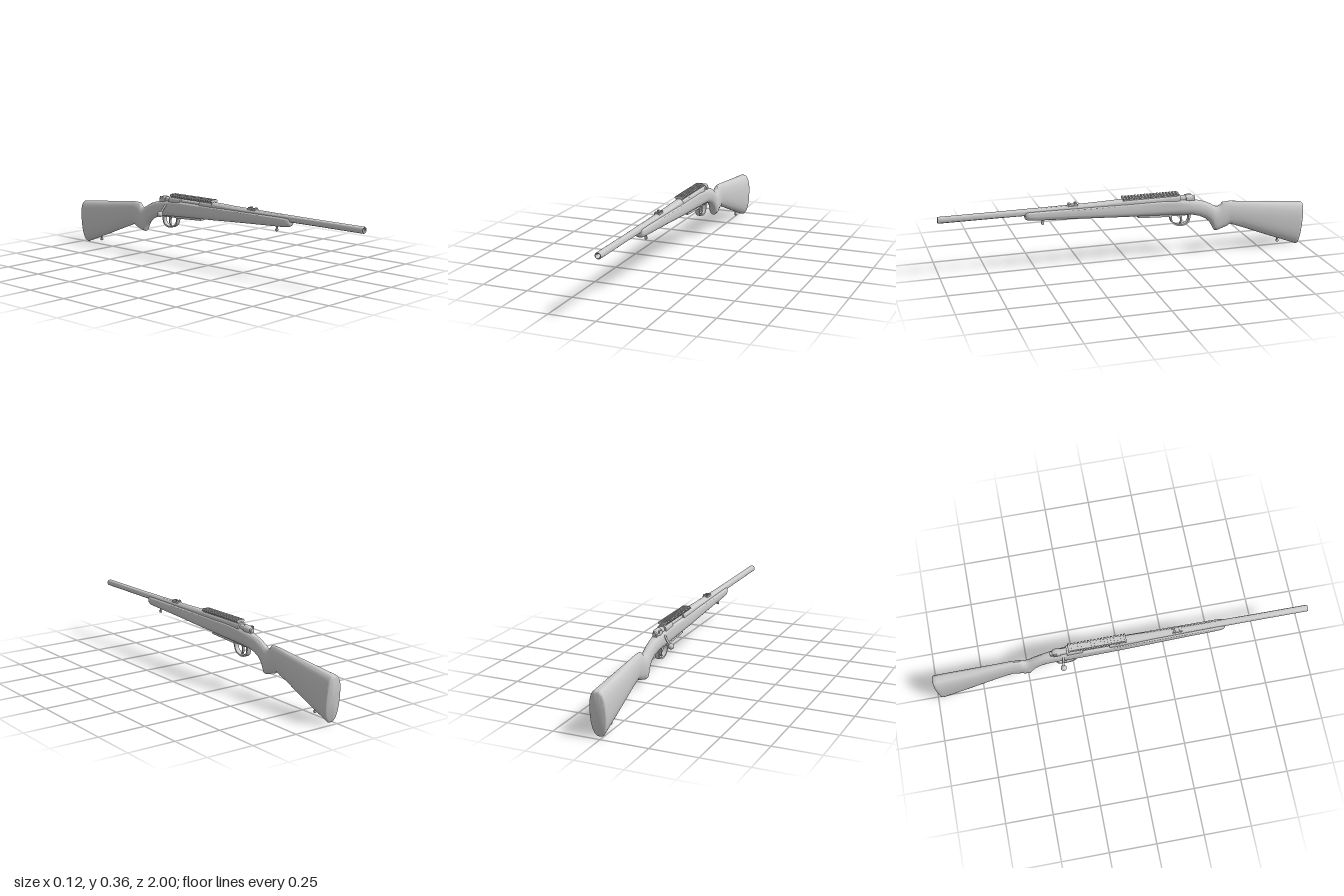
import * as THREE from 'three';
import { toCreasedNormals } from 'three/addons/utils/BufferGeometryUtils.js';

const material = new THREE.MeshStandardMaterial({ color: 0xcccccc });
const doubleSided = new THREE.MeshStandardMaterial({ color: 0xcccccc, side: THREE.DoubleSide });
const AXIS_Y = 0.325; // height of the bore line

export function createModel() {
  const model = new THREE.Group();
  const rifle = new THREE.Group();
  rifle.name = 'rifle';
  rifle.position.x = 0.016;
  model.add(rifle);

  const add = (name, geometry, x = 0, y = 0, z = 0, mat = material) => {
    const mesh = new THREE.Mesh(geometry, mat);
    mesh.name = name;
    mesh.position.set(x, y, z);
    rifle.add(mesh);
    return mesh;
  };
  const box = (name, w, h, d, x, y, z) => add(name, new THREE.BoxGeometry(w, h, d), x, y, z);

  // Turned part lying along z, from [radius, z] points listed back to front
  const turned = (name, points, y = AXIS_Y) => {
    const g = new THREE.LatheGeometry(points.map(([r, z]) => new THREE.Vector2(r, z)), 32);
    g.rotateX(Math.PI / 2);
    return add(name, toCreasedNormals(g, 0.6), 0, y, 0);
  };

  // Side profile of [z, y] points, extruded across x
  const sidePlate = (name, points, width) => {
    const shape = new THREE.Shape(points.map(([z, y]) => new THREE.Vector2(-z, y)));
    const g = new THREE.ExtrudeGeometry(shape, { depth: width, bevelEnabled: false });
    g.translate(0, 0, -width / 2).rotateY(Math.PI / 2);
    return add(name, g);
  };

  // Skin over oval sections: [z, top, bottom, half width, top squareness, bottom squareness, z lean]
  const loft = (name, sections, crease = 0.7) => {
    const N = 40, pos = [], index = [];
    for (const [z, top, bottom, w, nTop, nBottom, lean = 0] of sections) {
      const mid = (top + bottom) / 2, h = (top - bottom) / 2;
      for (let j = 0; j < N; j++) {
        const a = (j / N) * Math.PI * 2, c = Math.cos(a), s = Math.sin(a);
        const p = 2 / (s > 0 ? nTop : nBottom);
        const v = Math.sign(s) * Math.abs(s) ** p;
        pos.push(Math.sign(c) * Math.abs(c) ** p * w, mid + v * h, z - v * lean);
      }
    }
    for (let i = 0; i < sections.length - 1; i++) {
      for (let j = 0; j < N; j++) {
        const a = i * N + j, b = i * N + (j + 1) % N;
        index.push(a, a + N, b, b, a + N, b + N);
      }
    }
    const last = (sections.length - 1) * N, f = sections[0], e = sections[sections.length - 1];
    pos.push(0, (f[1] + f[2]) / 2, f[0], 0, (e[1] + e[2]) / 2, e[0]);
    for (let j = 0; j < N; j++) {
      const k = (j + 1) % N;
      index.push(last + N, j, k, last + N + 1, last + k, last + j);
    }
    const g = new THREE.BufferGeometry();
    g.setAttribute('position', new THREE.Float32BufferAttribute(pos, 3));
    g.setIndex(index);
    return add(name, toCreasedNormals(g, crease));
  };

  // Stock: fore-end, receiver bed, wrist, pistol grip and butt
  loft('stock', [
    [0.554, 0.322, 0.296, 0.017, 4, 2],
    [0.549, 0.326, 0.287, 0.023, 5, 2.2],
    [0.535, 0.328, 0.281, 0.027, 5, 2.3],
    [0.50, 0.328, 0.278, 0.028, 6, 2.3],
    [0.25, 0.327, 0.266, 0.030, 6, 2.4],
    [0.03, 0.327, 0.254, 0.032, 6, 2.6],
    [-0.20, 0.327, 0.243, 0.032, 6, 2.6],
    [-0.29, 0.323, 0.238, 0.031, 4, 2.4],
    [-0.35, 0.316, 0.232, 0.028, 2.6, 2.2],
    [-0.40, 0.306, 0.219, 0.025, 2.2, 2.2],
    [-0.435, 0.295, 0.202, 0.0245, 2, 2.2],
    [-0.46, 0.283, 0.178, 0.025, 2, 2.3],
    [-0.475, 0.274, 0.153, 0.026, 2, 2.5],
    [-0.487, 0.267, 0.129, 0.027, 2, 2.7],
    [-0.505, 0.262, 0.131, 0.027, 2, 2.7],
    [-0.518, 0.268, 0.135, 0.027, 2, 2.6],
    [-0.53, 0.285, 0.139, 0.026, 1.7, 2.5],
    [-0.555, 0.288, 0.146, 0.025, 1.8, 2.4],
    [-0.575, 0.287, 0.159, 0.025, 1.9, 2.3],
    [-0.65, 0.279, 0.131, 0.028, 2.1, 2.2],
    [-0.80, 0.264, 0.073, 0.036, 2.3, 2.3, 0.004],
    [-0.967, 0.247, 0.012, 0.044, 2.5, 2.4, 0.012],
  ]);
  loft('buttPad', [
    [-0.967, 0.247, 0.012, 0.044, 2.5, 2.4, 0.012],
    [-0.979, 0.245, 0.007, 0.044, 2.5, 2.4, 0.012],
    [-0.985, 0.241, 0.010, 0.042, 2.5, 2.4, 0.012],
    [-0.988, 0.234, 0.018, 0.038, 2.5, 2.4, 0.011],
  ], 0.9);

  // Barrel with a recessed, hollow muzzle
  turned('barrel', [
    [0.025, 0.02], [0.025, 0.06], [0.0215, 0.18], [0.0185, 0.45], [0.0172, 0.7],
    [0.0172, 0.996], [0.0155, 1], [0.0125, 1], [0.010, 0.994], [0.009, 0.994], [0.009, 0.9], [0, 0.9],
  ]);

  // Receiver: solid ring, bridge and a middle section open on the right
  const tube = (name, front, back, start = 0, length = Math.PI * 2) => {
    const g = new THREE.CylinderGeometry(0.026, 0.026, front - back, 32, 1, length < 6, start, length);
    g.rotateX(Math.PI / 2);
    add(name, toCreasedNormals(g, 0.6), 0, AXIS_Y, (front + back) / 2, doubleSided);
  };
  tube('receiverRing', 0.03, -0.06);
  tube('receiverMiddle', -0.06, -0.2, THREE.MathUtils.degToRad(275), THREE.MathUtils.degToRad(300));
  tube('receiverBridge', -0.2, -0.285);
  turned('bolt', [[0, -0.33], [0.017, -0.33], [0.017, -0.05], [0, -0.05]]);
  turned('boltShroud', [
    [0, -0.372], [0.009, -0.372], [0.011, -0.36], [0.017, -0.354], [0.021, -0.34], [0.021, -0.318], [0, -0.318],
  ]);
  box('safetyLever', 0.007, 0.014, 0.02, -0.019, 0.335, -0.345);
  box('tang', 0.024, 0.02, 0.07, 0, 0.311, -0.335);

  // Bolt handle with a round knob, on the right
  const handlePath = new THREE.CatmullRomCurve3([
    new THREE.Vector3(-0.008, 0.322, -0.302), new THREE.Vector3(-0.028, 0.302, -0.305),
    new THREE.Vector3(-0.045, 0.277, -0.31), new THREE.Vector3(-0.065, 0.253, -0.312),
  ]);
  add('boltHandle', new THREE.TubeGeometry(handlePath, 16, 0.0058, 12));
  add('boltKnob', new THREE.SphereGeometry(0.0155, 24, 16), -0.065, 0.253, -0.312);

  // Scope rail: base with a row of chamfered teeth
  box('railBase', 0.034, 0.012, 0.305, 0, 0.3505, -0.1225);
  const half = [[0.016, 0.348], [0.024, 0.352], [0.025, 0.357], [0.019, 0.363]];
  const toothShape = new THREE.Shape(
    [...half, ...half.slice().reverse().map(([x, y]) => [-x, y])].map(([x, y]) => new THREE.Vector2(x, y)));
  const toothGeometry = new THREE.ExtrudeGeometry(toothShape, { depth: 0.01, bevelEnabled: false });
  for (let i = 0; i < 18; i++) add('railTooth', toothGeometry, 0, 0, 0.02 - i * 0.01735);

  // Rear sight: saddle on the barrel with two raised leaves
  box('sightBase', 0.028, 0.014, 0.052, 0, 0.340, 0.30);
  box('sightFrontLeaf', 0.024, 0.008, 0.012, 0, 0.349, 0.317);
  for (const side of [-1, 1]) box('sightNotch', 0.009, 0.010, 0.012, side * 0.0085, 0.350, 0.284);

  // Floorplate, trigger guard and trigger
  const plate = box('floorplate', 0.034, 0.012, 0.18, 0, 0.2435, -0.145);
  plate.rotation.x = -0.05;
  const outer = new THREE.Shape();
  outer.moveTo(0.225, 0.244);
  outer.lineTo(0.236, 0.212);
  outer.bezierCurveTo(0.245, 0.166, 0.335, 0.160, 0.343, 0.205);
  outer.lineTo(0.350, 0.238);
  const hole = new THREE.Path();
  hole.moveTo(0.243, 0.234);
  hole.lineTo(0.336, 0.232);
  hole.lineTo(0.335, 0.207);
  hole.bezierCurveTo(0.328, 0.172, 0.252, 0.174, 0.243, 0.214);
  outer.holes.push(hole);
  const guard = new THREE.ExtrudeGeometry(outer, { depth: 0.024, bevelEnabled: false, curveSegments: 16 });
  guard.translate(0, 0, -0.012).rotateY(Math.PI / 2);
  add('triggerGuard', toCreasedNormals(guard, 0.6));
  sidePlate('trigger', [
    [-0.285, 0.24], [-0.293, 0.215], [-0.294, 0.2], [-0.287, 0.186],
    [-0.291, 0.184], [-0.301, 0.199], [-0.302, 0.216], [-0.3, 0.24],
  ], 0.01);

  // Sling studs under the fore-end and butt
  for (const [y, z] of [[0.270, 0.46], [0.045, -0.86]]) {
    add('slingStudPost', new THREE.CylinderGeometry(0.0045, 0.0055, 0.03, 12), 0, y, z);
    const head = add('slingStudHead', new THREE.CylinderGeometry(0.0075, 0.0075, 0.01, 16), 0, y - 0.012, z);
    head.rotation.z = Math.PI / 2;
  }
  return model;
}
